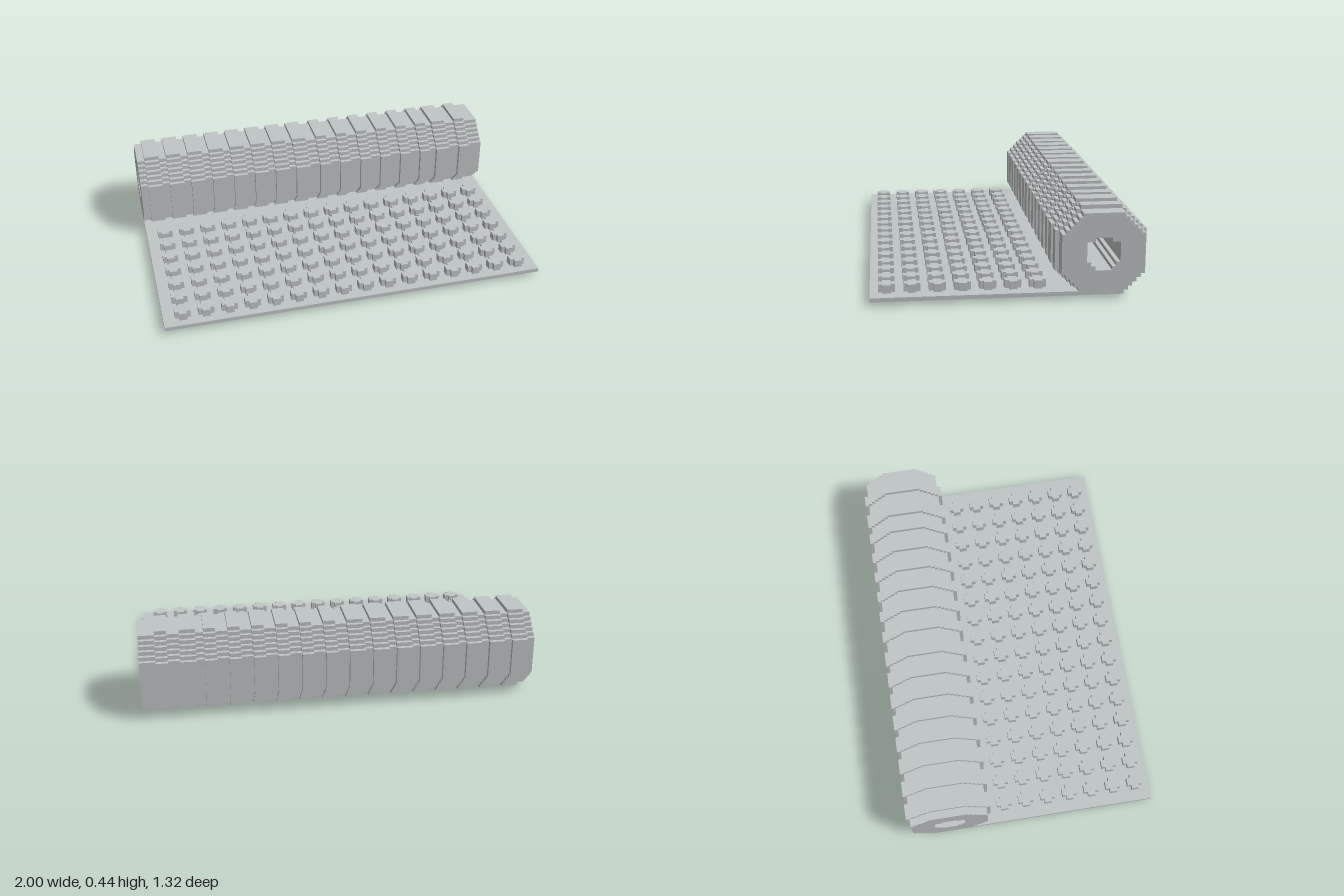
import * as THREE from 'three';

const STEP = 0.02;

// Closed stepped octagon: flat sides of half length 0.10, stair-stepped diagonals
function steppedOctagon(radius, flat = 0.1) {
  const quarter = [];
  for (let u = radius, v = flat; v < radius - 0.001; u -= STEP, v += STEP) {
    quarter.push([u, v], [u - STEP, v]);
  }
  quarter.push([flat, radius]);
  const points = [];
  for (let q = 0; q < 4; q++) {
    for (const [x, y] of quarter) {
      const p = [[x, y], [-y, x], [-x, -y], [y, -x]][q];
      points.push(new THREE.Vector2(p[0], p[1]));
    }
  }
  return points;
}

// Extrude a ring cross-section along x, centred on its length
function ring(outer, hole, length) {
  const shape = new THREE.Shape(outer);
  shape.holes.push(new THREE.Path(hole));
  const geometry = new THREE.ExtrudeGeometry(shape, { depth: length, bevelEnabled: false });
  return geometry.translate(0, 0, -length / 2).rotateY(Math.PI / 2);
}

const toPoints = (list) => list.map(([x, y]) => new THREE.Vector2(x, y));

export function createModel() {
  const model = new THREE.Group();
  model.name = 'rolledMat';
  const grey = new THREE.MeshStandardMaterial({ color: 0xc0c5c5 });
  grey.name = 'light grey';

  const add = (parent, name, geometry, x, y, z) => {
    const mesh = new THREE.Mesh(geometry, grey);
    mesh.name = name;
    mesh.position.set(x, y, z);
    parent.add(mesh);
  };

  // Flat unrolled sheet
  add(model, 'sheet', new THREE.BoxGeometry(2, 0.02, 1), 0, 0.03, 0.16);

  // Cross-shaped studs on the sheet
  const a = 0.02, b = 0.04;
  const cross = new THREE.Shape(toPoints([
    [b, -a], [b, a], [a, a], [a, b], [-a, b], [-a, a],
    [-b, a], [-b, -a], [-a, -a], [-a, -b], [a, -b], [a, -a],
  ]));
  const stud = new THREE.ExtrudeGeometry(cross, { depth: 0.04, bevelEnabled: false }).rotateX(-Math.PI / 2);
  const studs = new THREE.Group();
  studs.name = 'studs';
  for (let i = 0; i < 16; i++) {
    for (let j = 0; j < 7; j++) add(studs, 'stud', stud, -0.9 + 0.12 * i, 0.04, -0.14 + 0.12 * j);
  }
  model.add(studs);

  // Rolled-up portion with an open centre
  const roll = new THREE.Group();
  roll.name = 'roll';
  roll.position.set(0, 0.22, -0.44);
  const opening = toPoints([
    [0.08, -0.04], [0.08, 0.06], [0.04, 0.06], [0.04, 0.08],
    [-0.04, 0.08], [-0.04, 0.06], [-0.08, 0.06], [-0.08, -0.04],
    [-0.06, -0.04], [-0.06, -0.06], [-0.04, -0.06], [-0.04, -0.08],
    [0.04, -0.08], [0.04, -0.06], [0.06, -0.06], [0.06, -0.04],
  ]);
  add(roll, 'rollCore', ring(steppedOctagon(0.2), opening, 2), 0, 0, 0);

  // Raised bands around the roll; those on the left half are narrower
  const inner = toPoints([[0.12, -0.12], [0.12, 0.12], [-0.12, 0.12], [-0.12, -0.12]]);
  const outer = steppedOctagon(0.22);
  const wide = ring(outer, inner, 0.08);
  const narrow = ring(outer, inner, 0.06);
  for (let i = 0; i < 16; i++) {
    const isWide = i < 8 || i === 14;
    const end = -0.88 + 0.12 * i;
    if (isWide) add(roll, 'rollBand', wide, end - 0.04, 0, 0);
    else add(roll, 'rollBand', narrow, end - 0.03, 0, 0);
  }
  model.add(roll);

  return model;
}
